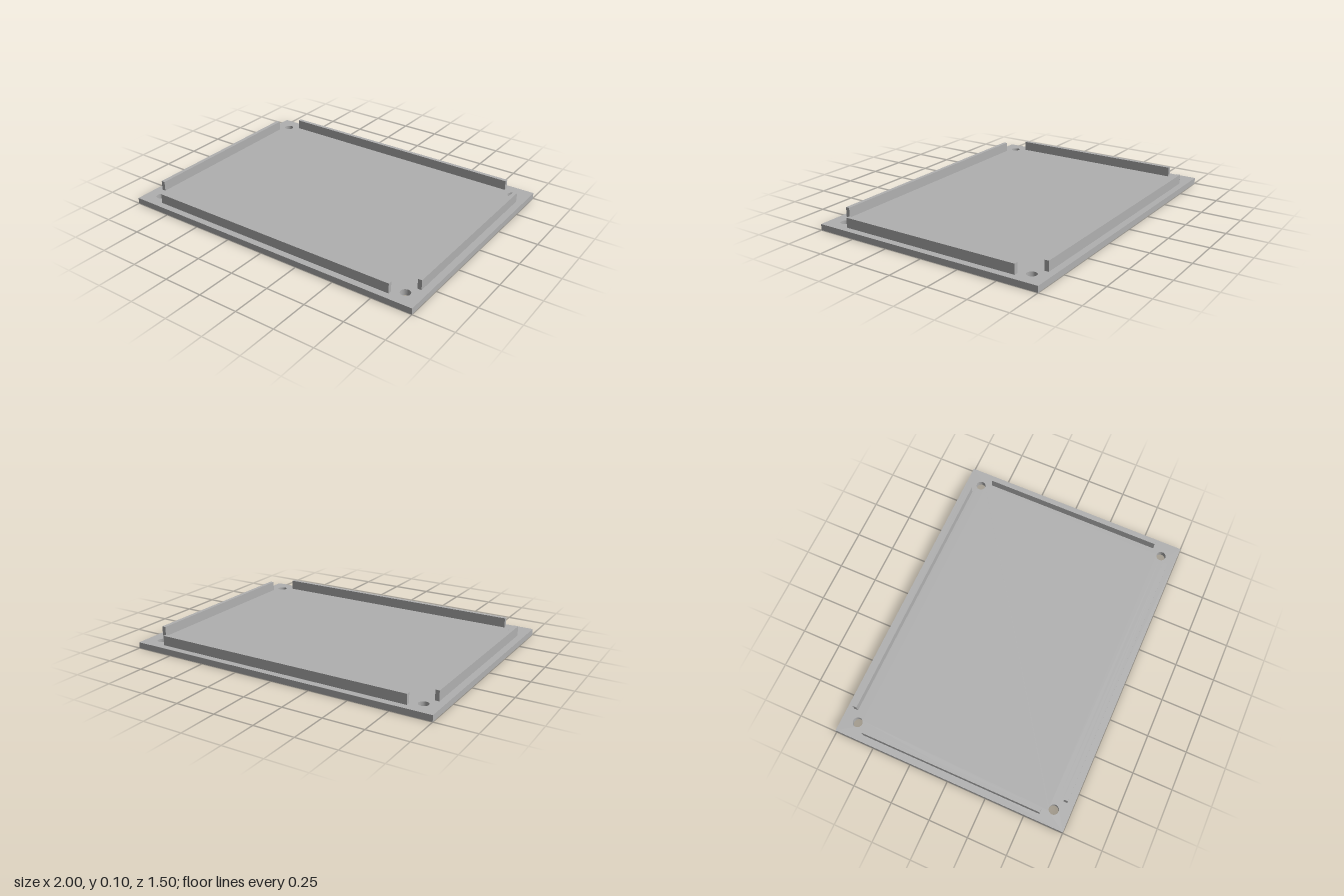
import * as THREE from 'three';

export function createModel() {
  const model = new THREE.Group();
  model.name = 'ribbedCoverPlate';
  const grey = new THREE.MeshStandardMaterial({ color: 0xb0b0b0 });
  grey.name = 'plain grey';

  const plateHeight = 0.038, topHeight = 0.1;

  // Base plate with a screw hole near each corner
  const outline = new THREE.Shape([
    new THREE.Vector2(-1, -0.75), new THREE.Vector2(1, -0.75),
    new THREE.Vector2(1, 0.75), new THREE.Vector2(-1, 0.75),
  ]);
  for (const sx of [-1, 1]) for (const sz of [-1, 1]) {
    outline.holes.push(new THREE.Path().absarc(sx * 0.9, sz * 0.65, 0.03, 0, Math.PI * 2, true));
  }
  const plateGeometry = new THREE.ExtrudeGeometry(outline, {
    depth: plateHeight, bevelEnabled: false, curveSegments: 32,
  });
  plateGeometry.rotateX(-Math.PI / 2);
  const plate = new THREE.Mesh(plateGeometry, grey);
  plate.name = 'basePlate';
  model.add(plate);

  // Upright locating ribs standing on the plate
  const addRib = (name, width, depth, x, z) => {
    const height = topHeight - plateHeight;
    const rib = new THREE.Mesh(new THREE.BoxGeometry(width, height, depth), grey);
    rib.name = name;
    rib.position.set(x, plateHeight + height / 2, z);
    model.add(rib);
  };
  addRib('frontRib', 1.664, 0.025, 0, 0.696);
  addRib('backRib', 1.664, 0.025, 0, -0.696);
  addRib('leftRib', 0.025, 1.166, 0.945, 0);
  addRib('rightRib', 0.025, 1.166, -0.945, 0);

  return model;
}
